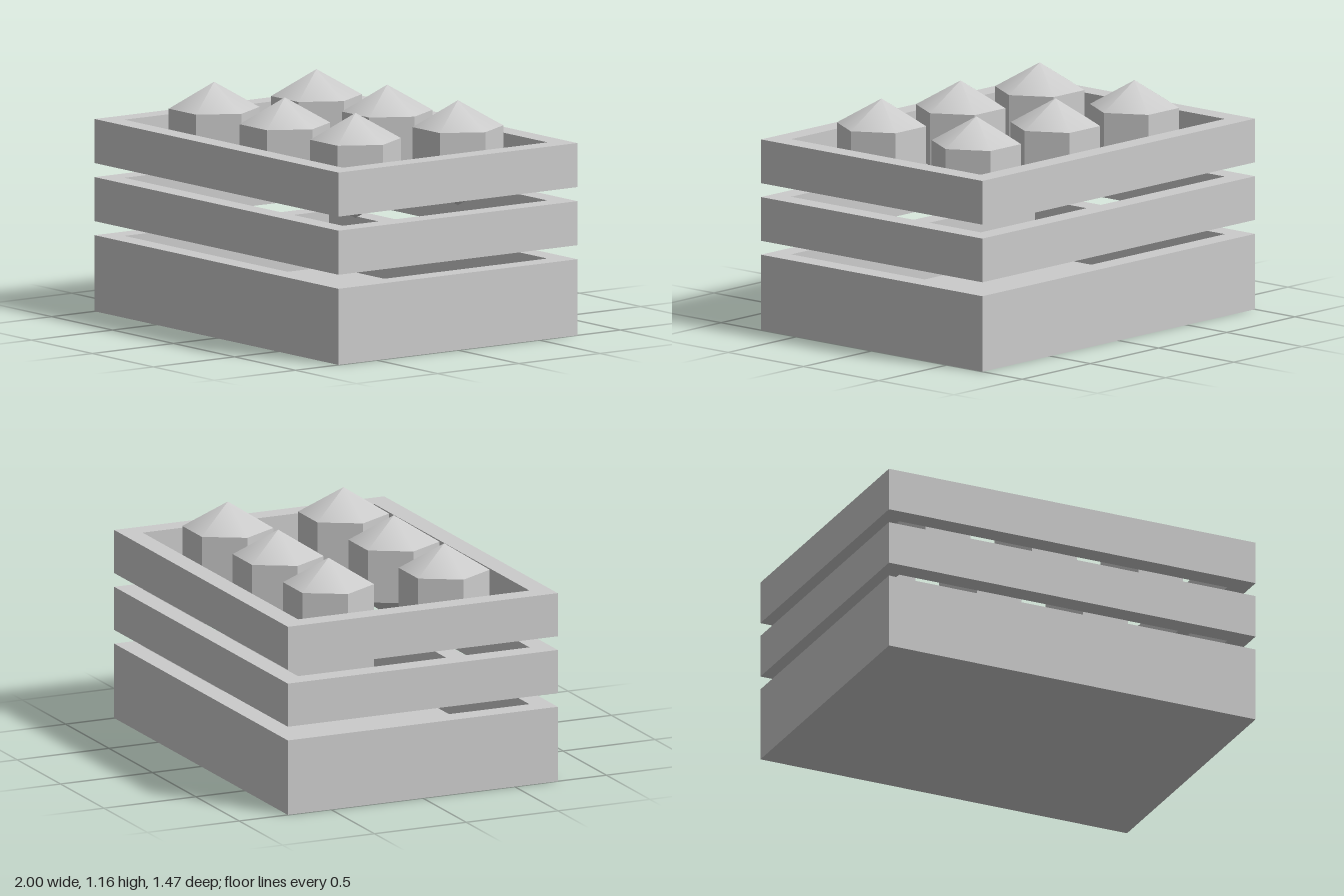
import * as THREE from 'three';

const material = new THREE.MeshStandardMaterial({ color: 0xcccccc });
const flatMaterial = new THREE.MeshStandardMaterial({ color: 0xcccccc, flatShading: true });

const WIDTH = 2, DEPTH = 1.47, WALL = 0.105;

function part(name, geometry, mat = material) {
  const mesh = new THREE.Mesh(geometry, mat);
  mesh.name = name;
  return mesh;
}

// Rectangle centred on the origin, as corner points
function rectangle(w, d) {
  return [[-w, -d], [w, -d], [w, d], [-w, d]].map(([x, y]) => new THREE.Vector2(x / 2, y / 2));
}

// Rectangular wall ring between two heights
function wallRing(name, bottom, top) {
  const shape = new THREE.Shape(rectangle(WIDTH, DEPTH));
  shape.holes.push(new THREE.Path(rectangle(WIDTH - 2 * WALL, DEPTH - 2 * WALL)));
  const geometry = new THREE.ExtrudeGeometry(shape, { depth: top - bottom, bevelEnabled: false });
  geometry.rotateX(-Math.PI / 2).translate(0, bottom, 0);
  return part(name, geometry);
}

// Hexagonal prism with a smooth pointed cap at both ends
function createCapsule() {
  const capsule = new THREE.Group();
  const radius = 0.225, bottom = 0.765, top = 1.03, cap = 0.13, turn = Math.PI / 6;
  const body = new THREE.CylinderGeometry(radius, radius, top - bottom, 6, 1, true, turn);
  body.translate(0, (top + bottom) / 2, 0);
  const upper = new THREE.ConeGeometry(radius, cap, 6, 1, true, turn);
  const lower = upper.clone().rotateX(Math.PI).translate(0, bottom - cap / 2, 0);
  upper.translate(0, top + cap / 2, 0);
  capsule.add(part('body', body, flatMaterial), part('upperCap', upper), part('lowerCap', lower));
  return capsule;
}

export function createModel() {
  const model = new THREE.Group();
  model.name = 'crate';

  // Open base box
  const floorHeight = 0.1;
  const floor = new THREE.BoxGeometry(WIDTH, floorHeight, DEPTH).translate(0, floorHeight / 2, 0);
  const base = new THREE.Group();
  base.name = 'base';
  base.add(part('floor', floor), wallRing('baseWall', floorHeight, 0.38));
  model.add(base);

  // Two separate rings above the base
  model.add(wallRing('middleRing', 0.45, 0.67), wallRing('topRing', 0.74, 0.96));

  // Two rows of three hexagonal pieces
  for (const z of [-0.315, 0.315]) {
    for (const x of [-0.58, 0, 0.58]) {
      const capsule = createCapsule();
      capsule.name = 'hexagonalPiece';
      capsule.position.set(x, 0, z);
      model.add(capsule);
    }
  }
  return model;
}
